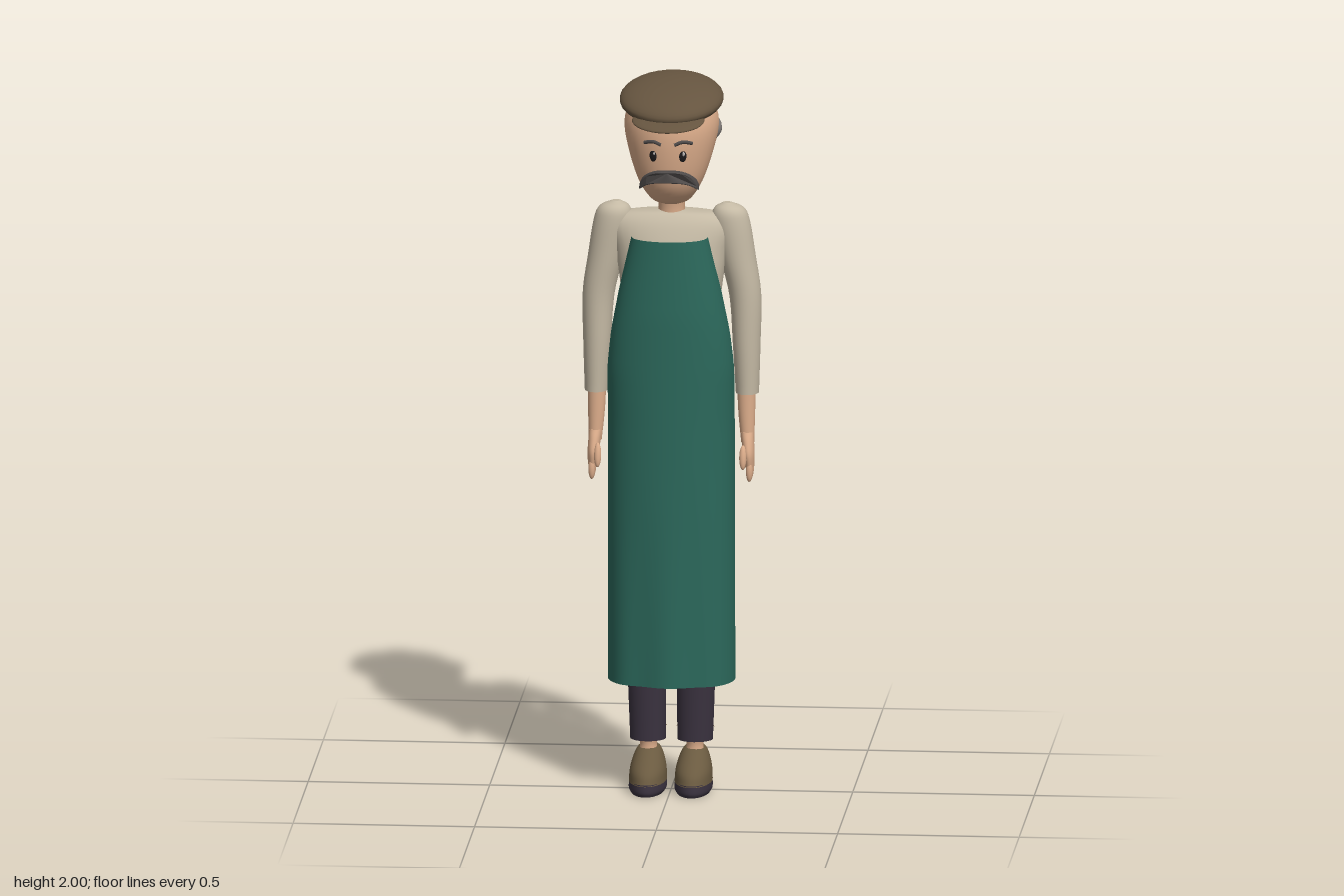
import * as THREE from 'three';

const mat = (name, color, side = THREE.FrontSide) => {
  const m = new THREE.MeshStandardMaterial({ color, side });
  m.name = name;
  return m;
};

// Smooth interpolation through cross-sections [y, cx, cz, rx, rz], t in 0..1
function sampler(rings) {
  const curve = (f) => new THREE.CatmullRomCurve3(rings.map(f), false, 'catmullrom', 0.5);
  const centre = curve(([y, cx, cz]) => new THREE.Vector3(cx, y, cz));
  const radius = curve(([, , , rx, rz]) => new THREE.Vector3(rx, rz, 0));
  return (t, a, grow = 1) => {
    const c = centre.getPoint(t), r = radius.getPoint(t);
    return [c.x + r.x * grow * Math.sin(a), c.y, c.z + r.y * grow * Math.cos(a)];
  };
}

function buildGeometry(pos, idx) {
  const g = new THREE.BufferGeometry();
  g.setAttribute('position', new THREE.Float32BufferAttribute(pos, 3));
  g.setIndex(idx);
  g.computeVertexNormals();
  return g;
}

// Closed body through elliptical cross-sections, listed bottom to top
function loft(rings, sides = 28, steps = 5) {
  const at = sampler(rings), rows = (rings.length - 1) * steps, pos = [], idx = [];
  for (let i = 0; i <= rows; i++)
    for (let j = 0; j < sides; j++) pos.push(...at(i / rows, (j / sides) * Math.PI * 2));
  for (let i = 0; i < rows; i++)
    for (let j = 0; j < sides; j++) {
      const k = (j + 1) % sides, a = i * sides + j, b = i * sides + k;
      idx.push(a, b, b + sides, a, b + sides, a + sides);
    }
  for (const t of [0, 1]) {
    const start = pos.length / 3;
    pos.push(...at(t, 0, 0));
    for (let j = 0; j < sides; j++) pos.push(...at(t, (j / sides) * Math.PI * 2));
    for (let j = 0; j < sides; j++) {
      const a = start + 1 + j, b = start + 1 + ((j + 1) % sides);
      idx.push(start, ...(t ? [a, b] : [b, a]));
    }
  }
  return buildGeometry(pos, idx);
}

// Ragged patch lying just over the back of a lofted limb
function tornPatch(rings, t0, t1, seed) {
  const at = sampler(rings), rows = 14, cols = 8, pos = [], idx = [];
  for (let i = 0; i <= rows; i++) {
    const v = i / rows, w = 0.25 + 0.6 * Math.sin(v * Math.PI);
    const l = -w + 0.2 * Math.sin(i * 2.3 + seed), r = w + 0.2 * Math.sin(i * 1.9 + seed * 2);
    for (let j = 0; j <= cols; j++)
      pos.push(...at(t0 + (t1 - t0) * v, Math.PI + l + ((r - l) * j) / cols, 1.03));
  }
  for (let i = 0; i < rows; i++)
    for (let j = 0; j < cols; j++) {
      const a = i * (cols + 1) + j, b = a + cols + 1;
      idx.push(a, a + 1, b + 1, a, b + 1, b);
    }
  return buildGeometry(pos, idx);
}

const ball = (rx, ry, rz) => new THREE.SphereGeometry(1, 32, 20).scale(rx, ry, rz);
const tube = (pts, r, n = 24) => new THREE.TubeGeometry(
  new THREE.CatmullRomCurve3(pts.map((p) => new THREE.Vector3(...p))), n, r, 8);

// Interpolates [y, value] pairs listed from low to high
function along(pairs, y) {
  for (let i = 1; i < pairs.length; i++) {
    const [y0, a] = pairs[i - 1], [y1, b] = pairs[i];
    if (y <= y1) return a + ((b - a) * (y - y0)) / (y1 - y0);
  }
  return pairs[pairs.length - 1][1];
}

// U-shaped sheet wrapping the front of the body, with soft folds low down
function apronGeometry() {
  const g = new THREE.PlaneGeometry(2, 1, 48, 40), p = g.attributes.position;
  const width = [[0.31, 0.175], [1.2, 0.174], [1.3, 0.163], [1.42, 0.14], [1.57, 0.105]];
  const front = [[0.31, 0.118], [0.8, 0.128], [1.35, 0.136], [1.57, 0.128]];
  const back = [[0.31, -0.02], [1.05, -0.01], [1.25, 0.015], [1.57, 0.05]];
  for (let i = 0; i < p.count; i++) {
    const a = (p.getX(i) * Math.PI) / 2, y = 0.31 + (p.getY(i) + 0.5) * 1.26;
    const zb = along(back, y), c = Math.max(0, Math.cos(a));
    const fold = 0.005 * Math.cos(a * 7) * c * Math.max(0, 1 - (y - 0.31) / 0.6);
    p.setXYZ(i, along(width, y) * Math.sin(a), y, zb + (along(front, y) - zb) * c ** 0.8 + fold);
  }
  g.computeVertexNormals();
  return g;
}

// Drooping crescent curved around the face
function moustacheGeometry() {
  const s = new THREE.Shape();
  s.moveTo(-0.08, -0.05);
  s.bezierCurveTo(-0.075, -0.012, -0.04, 0.008, 0, 0.004);
  s.bezierCurveTo(0.04, 0.008, 0.075, -0.012, 0.08, -0.05);
  s.bezierCurveTo(0.06, -0.028, 0.035, -0.022, 0, -0.022);
  s.bezierCurveTo(-0.035, -0.022, -0.06, -0.028, -0.08, -0.05);
  const g = new THREE.ExtrudeGeometry(s, {
    depth: 0.018, bevelSize: 0.003, bevelThickness: 0.005, bevelSegments: 3, curveSegments: 14 });
  const p = g.attributes.position;
  for (let i = 0; i < p.count; i++) p.setZ(i, p.getZ(i) - 8 * p.getX(i) ** 2);
  g.computeVertexNormals();
  return g;
}

export function createModel() {
  const skin = mat('skin', 0xdbac8a), shirt = mat('shirt cream', 0xc4b9a4);
  const green = mat('apron green', 0x2c695c, THREE.DoubleSide);
  const trouser = mat('trouser purple', 0x3a323f), brown = mat('cap brown', 0x65543f);
  const leather = mat('shoe brown', 0x6a5a40), grey = mat('hair grey', 0x86807c);
  const dark = mat('moustache grey', 0x4f4b4a), black = mat('eye black', 0x1c1a1c);
  const glint = mat('eye glint', 0xb9b4b2);
  const model = new THREE.Group();
  const add = (name, geo, material, x = 0, y = 0, z = 0) => {
    const m = new THREE.Mesh(geo, material);
    m.name = name;
    m.position.set(x, y, z);
    model.add(m);
    return m;
  };

  // Head, hair and neck
  add('head', loft([[1.655, 0, 0.005, 0.025, 0.025], [1.67, 0, 0.008, 0.055, 0.055],
    [1.72, 0, 0.015, 0.087, 0.085], [1.8, 0, 0.002, 0.115, 0.114],
    [1.88, 0, -0.018, 0.13, 0.135], [1.95, 0, -0.02, 0.11, 0.115]], 36), skin);
  add('neck', loft([[1.58, 0, -0.02, 0.042, 0.042], [1.64, 0, -0.018, 0.036, 0.036],
    [1.72, 0, -0.012, 0.045, 0.045]]), skin);
  add('hair', ball(0.134, 0.064, 0.094), grey, 0, 1.85, -0.076).rotation.x = 0.08;

  // Flat cap with short peak
  add('cap', ball(0.143, 0.045, 0.155), brown, 0, 1.945, -0.015).rotation.x = 0.21;
  add('capPeak', ball(0.1, 0.012, 0.075), brown, 0, 1.908, 0.097).rotation.x = 0.27;

  // Face
  add('moustache', moustacheGeometry(), dark, 0, 1.762, 0.113);
  for (const s of [1, -1]) {
    add('eye', ball(0.012, 0.02, 0.006), black, s * 0.04, 1.812, 0.106).rotation.y = s * 0.35;
    add('eyeGlint', ball(0.004, 0.006, 0.002), glint, s * 0.04 + 0.003, 1.816, 0.111);
    add('eyebrow', tube([[s * 0.018, 1.842, 0.117], [s * 0.04, 1.85, 0.113],
      [s * 0.066, 1.845, 0.1]], 0.005, 12), dark);
  }

  // Shirt body
  add('shirtBody', loft([[1.115, 0, -0.025, 0.135, 0.098], [1.15, 0, -0.025, 0.142, 0.102],
    [1.28, 0, -0.01, 0.125, 0.082], [1.42, 0, -0.005, 0.14, 0.104], [1.52, 0, -0.01, 0.155, 0.088],
    [1.59, 0, -0.015, 0.172, 0.066], [1.622, 0, -0.02, 0.14, 0.048],
    [1.632, 0, -0.02, 0.04, 0.03]], 36), shirt);

  for (const s of [1, -1]) {
    // Sleeve, forearm and hand
    add('sleeve', loft([[1.118, s * 0.208, -0.022, 0.032, 0.042], [1.25, s * 0.206, -0.022, 0.038, 0.046],
      [1.39, s * 0.202, -0.026, 0.044, 0.05], [1.5, s * 0.181, -0.026, 0.05, 0.052],
      [1.595, s * 0.163, -0.024, 0.053, 0.05], [1.635, s * 0.158, -0.023, 0.042, 0.04],
      [1.652, s * 0.153, -0.022, 0.012, 0.012]]), shirt);
    add('forearm', loft([[0.98, s * 0.21, -0.008, 0.018, 0.02], [1.06, s * 0.207, -0.013, 0.023, 0.023],
      [1.14, s * 0.206, -0.018, 0.026, 0.026]]), skin);
    add('palm', loft([[0.915, s * 0.216, 0.003, 0.013, 0.03], [0.95, s * 0.214, 0.004, 0.016, 0.034],
      [0.985, s * 0.211, 0, 0.017, 0.027], [1.01, s * 0.209, -0.004, 0.017, 0.019]]), skin);
    for (let i = 0; i < 4; i++)
      add('finger', ball(0.009, 0.033 - 0.003 * Math.abs(i - 1.5), 0.009), skin,
        s * 0.217, 0.904, -0.021 + i * 0.016);
    add('thumb', ball(0.01, 0.034, 0.011), skin, s * 0.2, 0.945, 0.033).rotation.x = -0.2;

    // Trouser leg with torn patch behind the knee and rolled hem
    const leg = [[0.14, s * 0.065, -0.012, 0.049, 0.047], [0.37, s * 0.068, -0.008, 0.054, 0.05],
      [0.54, s * 0.067, -0.004, 0.057, 0.056], [0.85, s * 0.067, -0.012, 0.066, 0.072],
      [1.1, s * 0.062, -0.012, 0.072, 0.082]];
    add('trouserLeg', loft(leg), trouser);
    add('tornPatch', tornPatch(leg, 0.25, 0.49, s * 1.7), skin);
    const hem = [];
    for (let i = 0; i <= 8; i++) {
      const a = Math.PI * (0.5 + i / 8);
      hem.push([s * 0.065 + 0.05 * Math.sin(a), 0.172, -0.012 + 0.048 * Math.cos(a)]);
    }
    add('hemStitch', tube(hem, 0.004), leather);

    // Ankle and shoe
    add('ankle', loft([[0.09, s * 0.064, -0.018, 0.03, 0.032], [0.125, s * 0.064, -0.015, 0.023, 0.026],
      [0.16, s * 0.064, -0.013, 0.03, 0.032]]), skin);
    add('shoeSole', loft([[0, s * 0.063, 0.015, 0.046, 0.1], [0.012, s * 0.063, 0.015, 0.052, 0.105],
      [0.034, s * 0.063, 0.014, 0.051, 0.103]]), trouser);
    add('shoeUpper', loft([[0.03, s * 0.063, 0.014, 0.052, 0.104], [0.06, s * 0.063, 0.005, 0.05, 0.096],
      [0.09, s * 0.063, -0.016, 0.042, 0.072], [0.113, s * 0.063, -0.03, 0.03, 0.045],
      [0.123, s * 0.063, -0.03, 0.012, 0.018]]), leather);
  }
  add('trouserSeat', loft([[0.84, 0, -0.012, 0.04, 0.045], [0.92, 0, -0.015, 0.09, 0.07],
    [1.0, 0, -0.016, 0.126, 0.08], [1.14, 0, -0.016, 0.13, 0.082]]), trouser);

  // Apron and its tie around the back
  add('apron', apronGeometry(), green);
  const tie = [];
  for (let i = 0; i <= 14; i++) {
    const a = Math.PI * (0.5 + i / 14);
    tie.push([0.158 * Math.sin(a), 1.28, 0.02 + 0.168 * Math.cos(a)]);
  }
  add('apronTie', tube(tie, 0.007, 48), green);
  return model;
}
